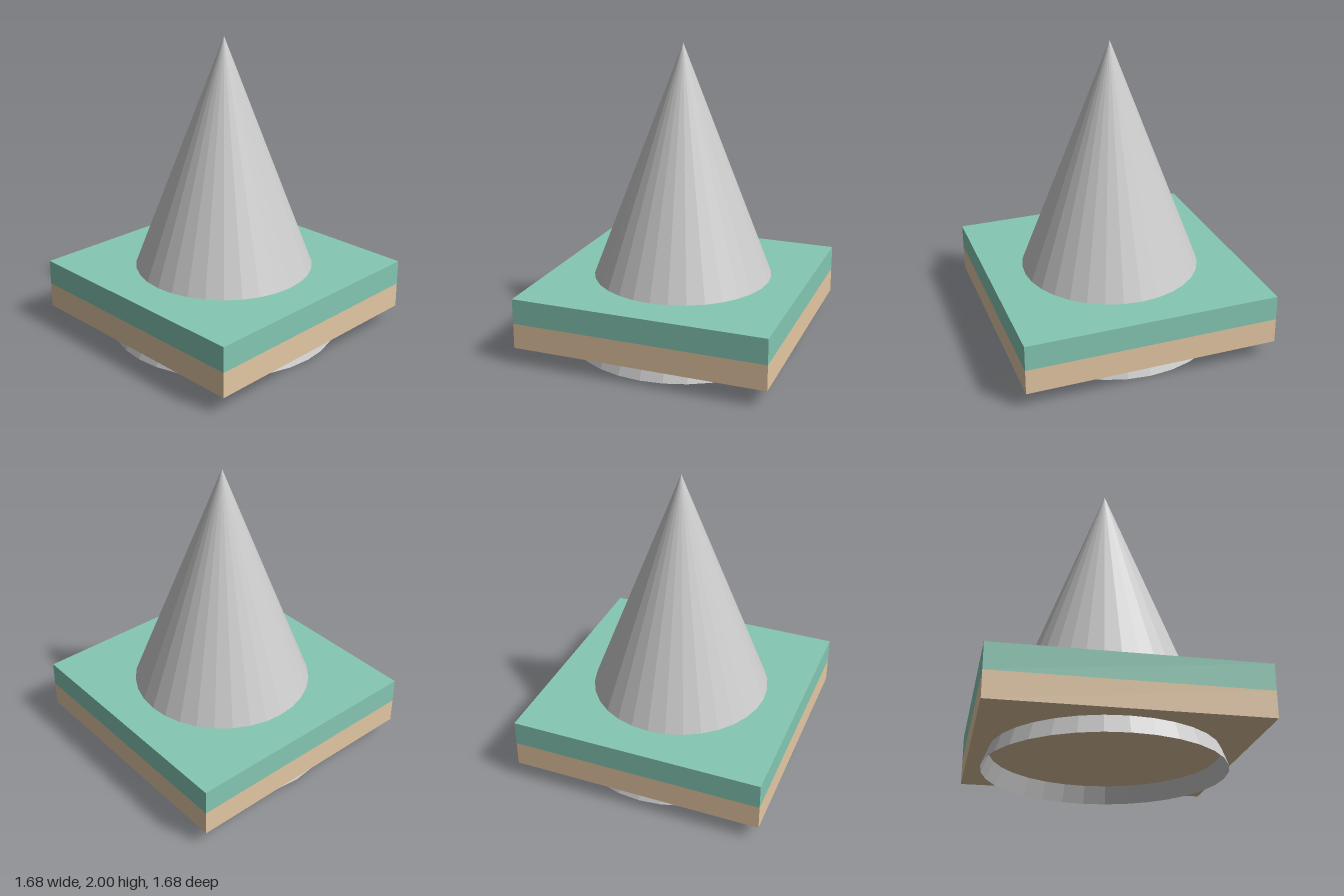
import * as THREE from 'three';

export function createModel() {
  const group = new THREE.Group();

  const add = (name, geometry, y, options) => {
    const mesh = new THREE.Mesh(geometry, new THREE.MeshStandardMaterial(options));
    mesh.name = name;
    mesh.position.y = y;
    group.add(mesh);
  };

  // Hollow cone, open at the bottom, passing through the slabs
  add('cone', new THREE.ConeGeometry(0.77, 2, 32, 1, true), 1,
    { color: 0xcccccc, flatShading: true, side: THREE.DoubleSide });

  // Two square slabs stacked around the cone
  const width = 1.68, bottom = 0.115, thickness = 0.1675;
  [['lowerSlab', 0xe4c7a3], ['upperSlab', 0x85c7b3]].forEach(([name, color], i) => {
    add(name, new THREE.BoxGeometry(width, thickness, width),
      bottom + thickness * (i + 0.5), { color });
  });

  return group;
}
